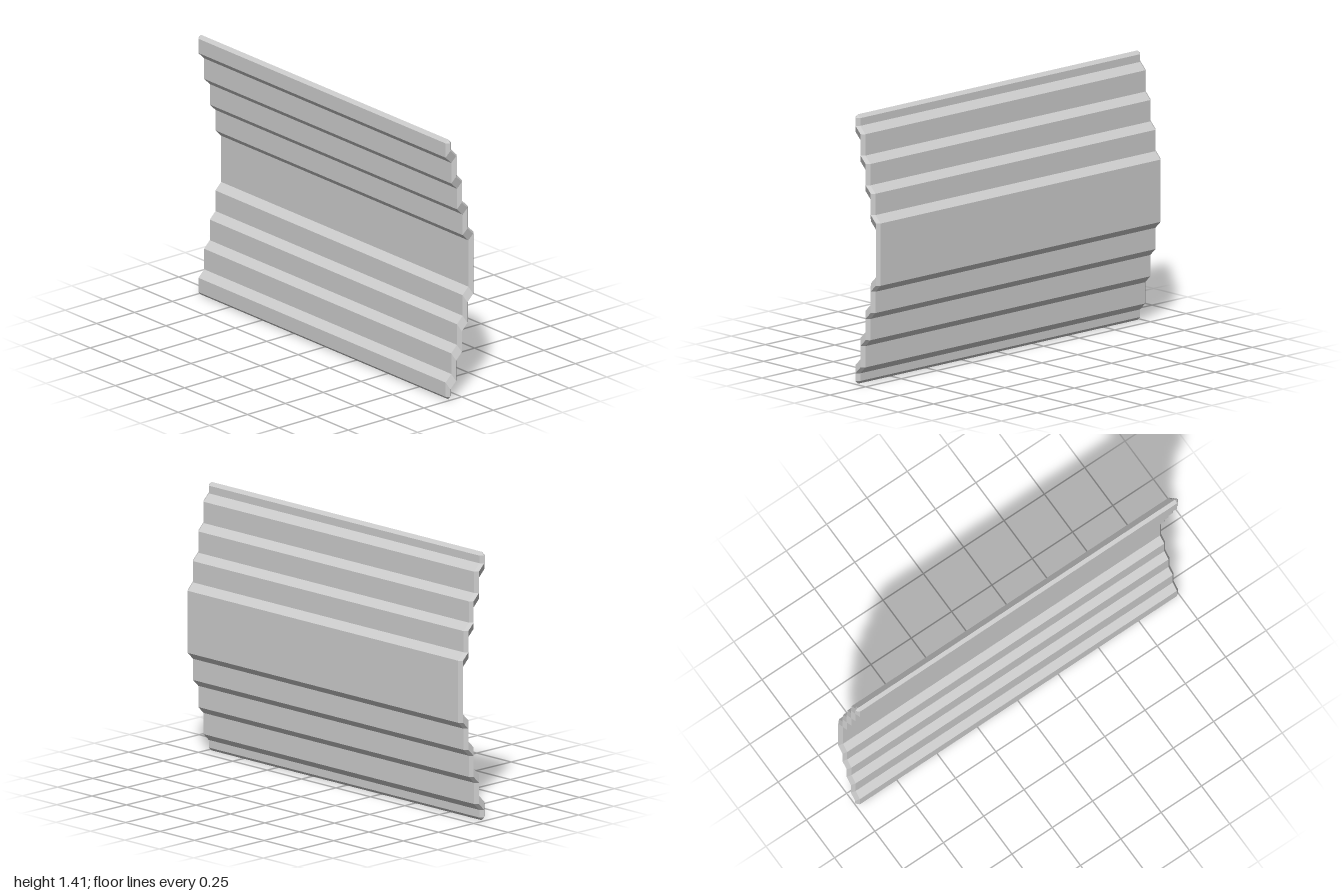
import * as THREE from 'three';

const HEIGHT = 1.41, HALF = 1, BEVEL = 0.0175, THICK = 0.035, STEP = 0.0375, PITCH = 0.149;

// Stepped profile as [y, z] points from bottom to top, mirrored about mid height
function profile(firstBend, frontZ) {
  const pts = [[BEVEL, frontZ]];
  for (let k = 0; k < 4; k++) {
    const y = firstBend + k * PITCH;
    pts.push([y, frontZ - k * STEP], [y + STEP, frontZ - (k + 1) * STEP]);
  }
  return [...pts, ...pts.map(([y, z]) => [HEIGHT - y, z]).reverse()];
}

function meshFromTriangles(name, positions, material) {
  const geometry = new THREE.BufferGeometry();
  geometry.setAttribute('position', new THREE.Float32BufferAttribute(positions, 3));
  geometry.computeVertexNormals(); // unshared corners keep every fold crisp
  const mesh = new THREE.Mesh(geometry, material);
  mesh.name = name;
  return mesh;
}

export function createModel() {
  const group = new THREE.Group();
  group.name = 'corrugatedPanel';
  const grey = new THREE.MeshStandardMaterial({ color: 0xcccccc });
  grey.name = 'lightGrey';

  const zFront = 0.0925, zMid = zFront - THICK / 2;
  const front = profile(0.095, zFront);
  const back = profile(0.0575, zFront - THICK);
  const ridge = profile(0.0575, zMid);
  const top = [HEIGHT, zMid], bottom = [0, zMid];
  const inner = HALF - BEVEL;
  const at = (x, [y, z]) => [x, y, z];

  // Long folded sheet: front, pointed top rim, back, pointed bottom rim
  const loop = [...front, top, ...[...back].reverse(), bottom];
  const sheet = [];
  loop.forEach((p, i) => {
    const q = loop[(i + 1) % loop.length];
    const a = at(-inner, p), b = at(inner, p), c = at(inner, q), d = at(-inner, q);
    sheet.push(...a, ...b, ...c, ...a, ...c, ...d);
  });
  group.add(meshFromTriangles('foldedSheet', sheet, grey));

  // Bevelled end rims meeting in a ridge
  for (const side of [1, -1]) {
    const pos = [];
    const tri = (a, b, c) => pos.push(...a, ...(side > 0 ? b : c), ...(side > 0 ? c : b));
    const f = front.map(p => at(side * inner, p));
    const m = ridge.map(p => at(side * HALF, p));
    const r = back.map(p => at(side * inner, p));
    const t = at(side * inner, top), u = at(side * inner, bottom);
    const n = f.length - 1;
    for (let i = 0; i < n; i++) {
      for (const [g, h] of [[f, m], [m, r]]) {
        tri(g[i], h[i], h[i + 1]);
        tri(g[i], h[i + 1], g[i + 1]);
      }
    }
    // Small corner facets
    tri(f[0], u, m[0]);
    tri(u, r[0], m[0]);
    tri(f[n], m[n], t);
    tri(m[n], r[n], t);
    group.add(meshFromTriangles(side > 0 ? 'leftEndRim' : 'rightEndRim', pos, grey));
  }
  return group;
}
